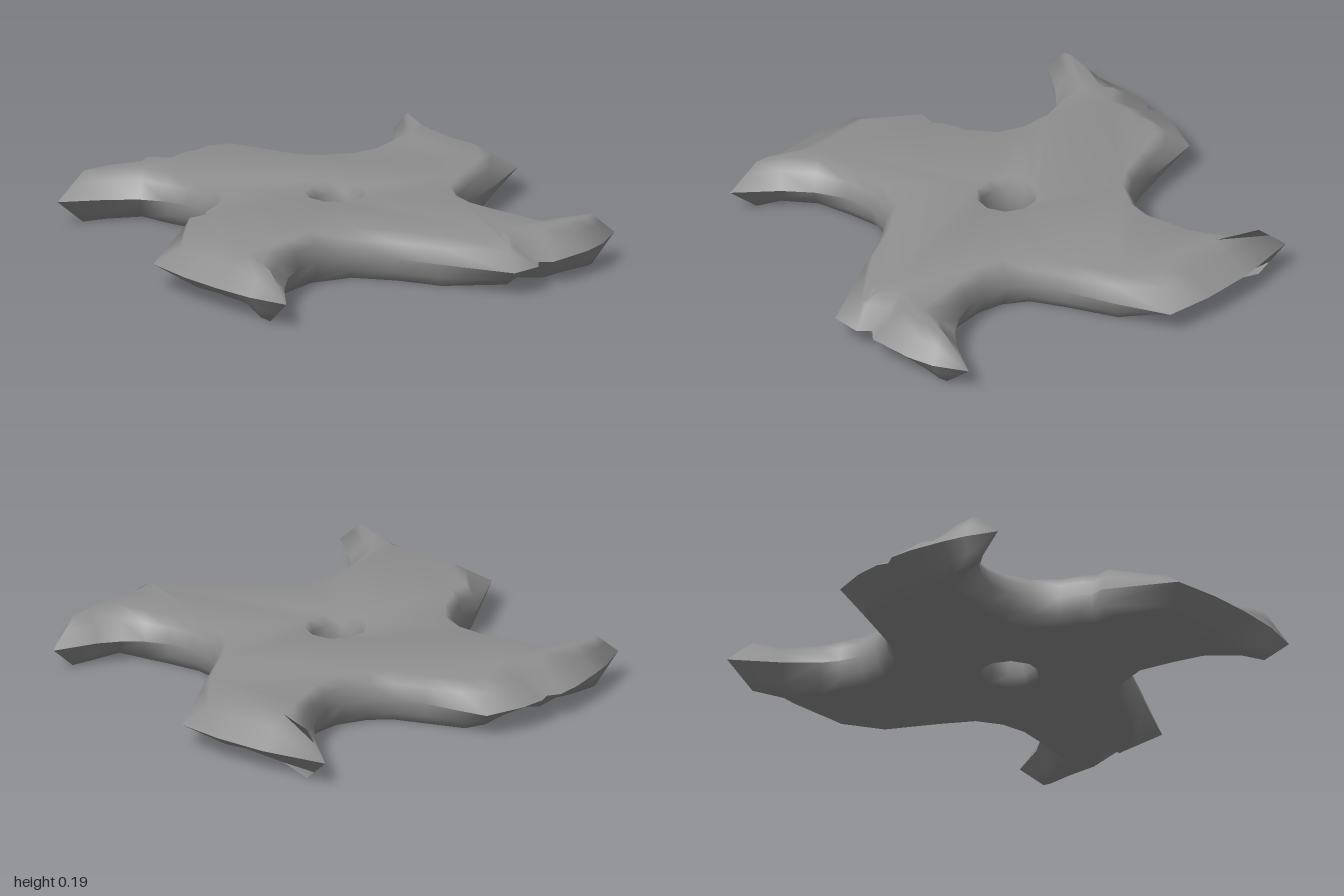
import * as THREE from 'three';

const HALF = 0.094; // half the thickness
const { smoothstep, lerp } = THREE.MathUtils;

// Outline (x, z) at the middle edge, clockwise seen from above
const OUTLINE = [
  // back blade
  [0.13, -1], [0.34, -0.87], [0.49, -0.74], [0.605, -0.61], [0.54, -0.4], [0.47, -0.22], [0.44, -0.1],
  [0.46, -0.02], [0.51, 0.05], [0.59, 0.11], [0.67, 0.14], [0.75, 0.15], [0.84, 0.14],
  // left blade, chipped
  [1, 0.09], [0.97, 0.22], [0.92, 0.31], [0.81, 0.44], [0.755, 0.445], [0.76, 0.5], [0.68, 0.58],
  [0.4, 0.5], [0.24, 0.45], [0.09, 0.43], [-0.03, 0.49], [-0.09, 0.58], [-0.12, 0.69], [-0.125, 0.81],
  // front blade, chipped
  [-0.105, 0.99], [-0.24, 0.92], [-0.37, 0.82], [-0.49, 0.71], [-0.61, 0.57], [-0.53, 0.3], [-0.48, 0.265],
  [-0.48, 0.23], [-0.445, 0.15], [-0.435, 0.06], [-0.47, -0.02], [-0.54, -0.09], [-0.62, -0.13],
  [-0.71, -0.145], [-0.82, -0.135],
  // right blade, chipped
  [-1, -0.095], [-0.95, -0.21], [-0.9, -0.29], [-0.82, -0.4], [-0.76, -0.46], [-0.71, -0.47], [-0.69, -0.51],
  [-0.61, -0.57], [-0.48, -0.63], [-0.38, -0.57], [-0.27, -0.5], [-0.16, -0.455], [-0.08, -0.45],
  [0.02, -0.48], [0.08, -0.53], [0.12, -0.6], [0.14, -0.67], [0.145, -0.8],
].map(([x, z]) => new THREE.Vector2(x, z));

// Centre hole, wound the other way so that the material is again on its right
const HOLE = Array.from({ length: 10 }, (_, i) => {
  const a = -(i / 10) * Math.PI * 2;
  return new THREE.Vector2(0.087 * Math.cos(a), 0.087 * Math.sin(a));
});

// Distance from point i along d to the far side of the loop
function clearance(loop, i, d) {
  const p = loop[i], n = loop.length;
  let best = Infinity;
  for (let j = 0; j < n; j++) {
    const k = (j + 1) % n;
    if (j === i || k === i) continue;
    const e = loop[k].clone().sub(loop[j]), w = loop[j].clone().sub(p);
    const den = d.cross(e);
    if (Math.abs(den) < 1e-9) continue;
    const t = w.cross(e) / den, s = w.cross(d) / den;
    if (t > 1e-6 && s >= 0 && s <= 1) best = Math.min(best, t);
  }
  return best;
}

// Bevel per point: narrow and round in the valleys, wide and straight on the blades
function bevels(loop) {
  const n = loop.length;
  const inward = (a, b) => new THREE.Vector2(a.y - b.y, b.x - a.x).normalize();
  return loop.map((p, i) => {
    const d = inward(loop[(i + n - 1) % n], p).add(inward(p, loop[(i + 1) % n])).normalize();
    const r = p.length();
    const size = 0.025 + 0.015 * smoothstep(r, 0.1, 0.4)
      + 0.12 * smoothstep(r, 0.62, 0.85) - 0.05 * smoothstep(r, 0.88, 1);
    return { d, size: Math.min(size, 0.32 * clearance(loop, i, d)), blade: smoothstep(r, 0.5, 0.85) };
  });
}

// One half of the disc, upper (side = 1) or lower (side = -1)
function halfGeometry(side) {
  const pos = [], normals = [], index = [], flat = [], flatIds = [];
  const face = (a, b, c) => (side > 0 ? index.push(a, b, c) : index.push(a, c, b));
  const normal = new THREE.Vector3();

  const rims = [OUTLINE, HOLE].map((loop) => {
    const n = loop.length, base = pos.length / 3, bevel = bevels(loop);
    // Rings from the flat face out to the middle edge
    for (let ring = 0; ring < 3; ring++) {
      loop.forEach((p, i) => {
        const { d, size, blade } = bevel[i];
        const inset = [1, lerp(0.35, 0.6, blade), 0][ring] * size;
        const height = [1, 0.6, 0][ring] * HALF;
        pos.push(p.x + d.x * inset, HALF + side * height, p.y + d.y * inset);
        const out = [0.15, HALF, HALF][ring], up = [1, size, size * blade][ring];
        normal.set(-d.x * out, side * up, -d.y * out).normalize();
        normals.push(normal.x, normal.y, normal.z);
      });
    }
    for (let ring = 0; ring < 2; ring++) {
      for (let i = 0; i < n; i++) {
        const a = base + ring * n + i, b = base + ring * n + (i + 1) % n;
        face(a, b, a + n);
        face(b, b + n, a + n);
      }
    }
    return loop.map((p, i) => {
      const q = p.clone().addScaledVector(bevel[i].d, bevel[i].size);
      flat.push(q);
      flatIds.push(base + i);
      return q;
    });
  });

  // Flat face around the hole
  for (const [a, b, c] of THREE.ShapeUtils.triangulateShape(rims[0], [rims[1]])) {
    const turn = flat[b].clone().sub(flat[a]).cross(flat[c].clone().sub(flat[a]));
    const [u, v] = turn < 0 ? [b, c] : [c, b];
    face(flatIds[a], flatIds[u], flatIds[v]);
  }

  const geo = new THREE.BufferGeometry();
  geo.setAttribute('position', new THREE.Float32BufferAttribute(pos, 3));
  geo.setAttribute('normal', new THREE.Float32BufferAttribute(normals, 3));
  geo.setIndex(index);
  return geo;
}

export function createModel() {
  const group = new THREE.Group();
  group.name = 'throwingStar';
  const metal = new THREE.MeshStandardMaterial({ color: 0x909090 });
  for (const [name, side] of [['upperHalf', 1], ['lowerHalf', -1]]) {
    const half = new THREE.Mesh(halfGeometry(side), metal);
    half.name = name;
    group.add(half);
  }
  return group;
}
